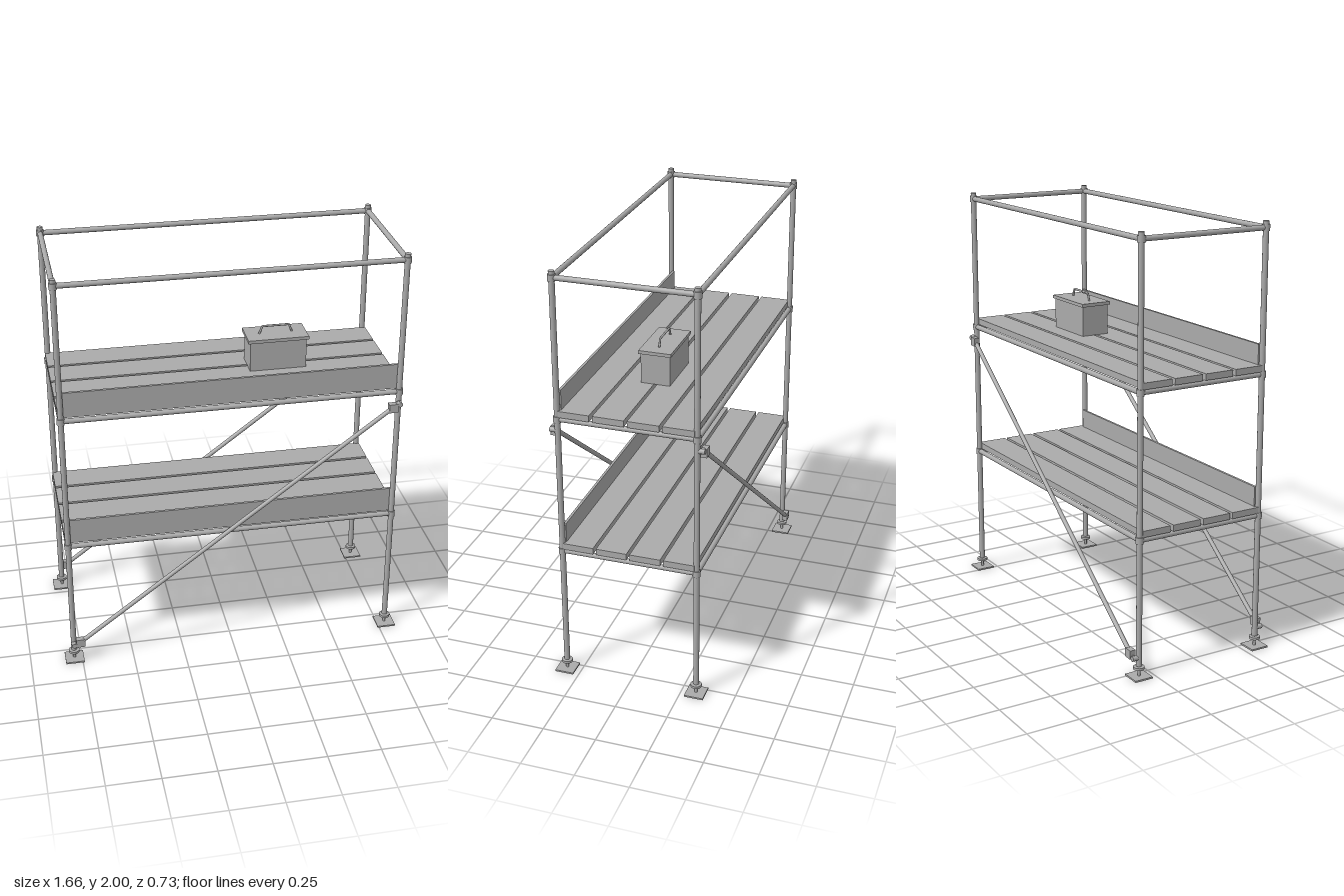
import * as THREE from 'three';

const PX = 0.787, PZ = 0.32;          // post positions
const DECKS = [0.65, 1.315];          // deck ledger heights
const RAIL_Y = 1.97;

export function createModel() {
  const model = new THREE.Group();
  model.name = 'scaffold';
  const grey = new THREE.MeshStandardMaterial({ color: 0xaaaaaa });
  grey.name = 'plain grey';

  const add = (name, geometry, x = 0, y = 0, z = 0, parent = model) => {
    const mesh = new THREE.Mesh(geometry, grey);
    mesh.name = name;
    mesh.position.set(x, y, z);
    parent.add(mesh);
    return mesh;
  };
  const box = (name, w, h, d, x, y, z, parent) =>
    add(name, new THREE.BoxGeometry(w, h, d), x, y, z, parent);
  const disc = (name, r, h, x, y, z, parent) =>
    add(name, new THREE.CylinderGeometry(r, r, h, 18), x, y, z, parent);
  // Straight tube between two points
  const tube = (name, a, b, r, parent) => {
    const A = new THREE.Vector3(...a), B = new THREE.Vector3(...b);
    const dir = B.clone().sub(A);
    const mesh = add(name, new THREE.CylinderGeometry(r, r, dir.length(), 16), 0, 0, 0, parent);
    mesh.position.copy(A).add(B).multiplyScalar(0.5);
    mesh.quaternion.setFromUnitVectors(new THREE.Vector3(0, 1, 0), dir.normalize());
    return mesh;
  };

  // Posts with adjustable feet and couplers
  for (const sx of [-1, 1]) for (const sz of [-1, 1]) {
    const post = new THREE.Group();
    post.name = 'post';
    post.position.set(sx * PX, 0, sz * PZ);
    model.add(post);
    box('basePlate', 0.09, 0.008, 0.09, 0, 0.004, 0, post);
    disc('jackStem', 0.007, 0.07, 0, 0.04, 0, post);
    disc('jackNut', 0.026, 0.012, 0, 0.046, 0, post);
    disc('postTube', 0.0135, 1.945, 0, 1.0275, 0, post);
    for (const y of [...DECKS, RAIL_Y]) disc('coupler', 0.018, 0.03, 0, y, 0, post);
  }

  // Horizontal tubes at both decks and at the guard rail
  for (const y of [...DECKS, RAIL_Y]) {
    for (const s of [-1, 1]) {
      tube('ledger', [-PX, y, s * PZ], [PX, y, s * PZ], 0.0125);
      tube('transom', [s * PX, y, -PZ], [s * PX, y, PZ], 0.0125);
    }
  }

  // Planks and toe boards
  for (const y of DECKS) {
    for (const z of [-0.24, -0.08, 0.08, 0.24])
      box('plank', 1.6, 0.03, 0.145, 0, y + 0.028, z);
    box('toeBoard', 1.56, 0.122, 0.012, 0, y + 0.076, 0.308);
  }

  // Diagonal braces, front and back, with end clamps
  for (const s of [-1, 1]) {
    const z = s * 0.346;
    tube('brace', [-PX, 0.086, z], [PX, 1.27, z], 0.0105);
    for (const [x, y] of [[-0.755, 0.11], [0.755, 1.246]]) {
      box('braceClamp', 0.042, 0.042, 0.028, x, y, z).rotation.z = 0.04;
      tube('clampPin', [Math.sign(x) * PX, y + Math.sign(x) * 0.015, s * 0.325],
        [Math.sign(x) * PX, y + Math.sign(x) * 0.015, s * 0.356], 0.012);
    }
  }

  // Toolbox on the upper deck
  const toolbox = new THREE.Group();
  toolbox.name = 'toolbox';
  toolbox.position.set(0.267, 1.358, 0);
  model.add(toolbox);
  box('toolboxBody', 0.27, 0.146, 0.138, 0, 0.073, 0, toolbox);
  box('toolboxLid', 0.29, 0.016, 0.154, 0, 0.152, 0, toolbox);
  const handle = new THREE.CurvePath();
  const pts = [[-0.08, 0.155], [-0.064, 0.196], [0.064, 0.196], [0.08, 0.155]]
    .map(([x, y]) => new THREE.Vector3(x, y, 0));
  for (let i = 0; i < 3; i++) handle.add(new THREE.LineCurve3(pts[i], pts[i + 1]));
  add('toolboxHandle', new THREE.TubeGeometry(handle, 40, 0.005, 10), 0, 0, 0, toolbox);

  return model;
}
